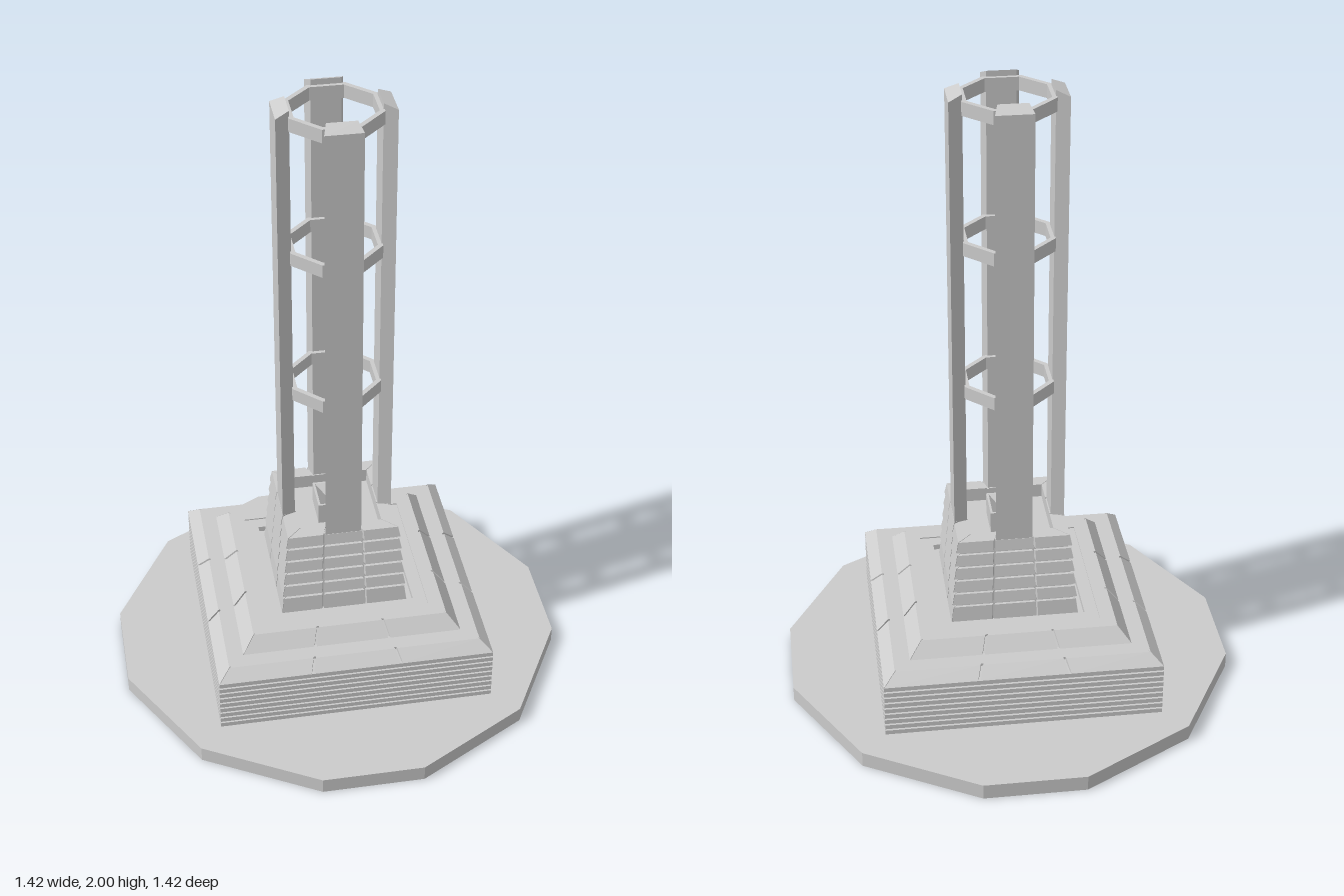
import * as THREE from 'three';

const grey = new THREE.MeshStandardMaterial({ color: 0xcccccc, flatShading: true });

// Mirror-symmetric 12-sided ground slab
function groundSlab() {
  const quarter = [[0.71, 0.16], [0.512, 0.512], [0.16, 0.71]];
  const pts = [];
  for (let q = 0; q < 4; q++) {
    for (const [x, y] of quarter) {
      pts.push(new THREE.Vector2(x, y).rotateAround(new THREE.Vector2(), q * Math.PI / 2));
    }
  }
  const geo = new THREE.ExtrudeGeometry(new THREE.Shape(pts), { depth: 0.05, bevelEnabled: false });
  return geo.rotateX(-Math.PI / 2);
}

// Profile of [half width, y] turned into a regular n-sided solid with flats facing the axes
function turned(profile, n) {
  const k = 1 / Math.cos(Math.PI / n);
  return new THREE.LatheGeometry(profile.map(([r, y]) => new THREE.Vector2(r * k, y)), n, Math.PI / n);
}

// Six-sided block from 4 bottom and 4 top corners (outer left, outer right, inner right, inner left)
function block(corners) {
  const quads = [[0, 1, 5, 4], [1, 2, 6, 5], [2, 3, 7, 6], [3, 0, 4, 7], [4, 5, 6, 7], [3, 2, 1, 0]];
  const geo = new THREE.BufferGeometry();
  geo.setAttribute('position', new THREE.Float32BufferAttribute(corners.flat(), 3));
  geo.setIndex(quads.flatMap(([a, b, c, d]) => [a, b, c, a, c, d]));
  const flat = geo.toNonIndexed();
  flat.computeVertexNormals();
  return flat;
}

export function createModel() {
  const model = new THREE.Group();
  const tower = new THREE.Group();
  tower.name = 'tower';
  tower.position.set(-0.003, 0, -0.003);
  model.add(tower);

  const add = (parent, name, geo, turn = 0) => {
    const mesh = new THREE.Mesh(geo, grey);
    mesh.name = name;
    mesh.rotation.y = turn * Math.PI / 2;
    parent.add(mesh);
  };

  // Square ring of stones, three per side, split by narrow joints
  const course = (name, r0, y0, r1, y1, inner, k, gap) => {
    const ring = new THREE.Group();
    ring.name = name;
    for (let side = 0; side < 4; side++) {
      for (const [a, b] of [[-1, -k], [-k, k], [k, 1]]) {
        const ga = a === -1 ? 0.001 : gap, gb = b === 1 ? 0.001 : gap;
        const level = (r, y) => [
          [a * r + ga, y, r], [b * r - gb, y, r],
          [b * inner - gb, y, inner], [a * inner + ga, y, inner]];
        add(ring, 'stone', block([...level(r0, y0), ...level(r1, y1)]), side);
      }
    }
    tower.add(ring);
  };

  add(model, 'groundSlab', groundSlab());

  // Plinth: grooved wall, two steps and a shallow channel round the pedestal
  const wall = [[0, 0.04]];
  const slats = 9, pitch = 0.185 / slats;
  for (let i = 0; i < slats; i++) {
    const y = 0.05 + i * pitch;
    wall.push([0.425, y], [0.425, y + 0.006], [0.437, y + 0.006], [0.437, y + pitch]);
  }
  wall.push([0.425, 0.235], [0.394, 0.26], [0.394, 0.268], [0.34, 0.268],
    [0.304, 0.306], [0.304, 0.312], [0.262, 0.312], [0.262, 0.308],
    [0.22, 0.308], [0.22, 0.29], [0, 0.29]);
  add(tower, 'plinth', turned(wall, 4));
  course('lowerSlope', 0.437, 0.235, 0.4, 0.268, 0.394, 0.325, 0.004);
  course('upperSlope', 0.35, 0.267, 0.31, 0.312, 0.304, 0.34, 0.004);

  // Pedestal: recessed core faced with six tapering stone courses
  add(tower, 'pedestalCore', turned([
    [0, 0.285], [0.192, 0.285], [0.167, 0.572], [0.13, 0.572], [0.13, 0.53], [0, 0.53]], 4));
  for (let i = 0; i < 6; i++) {
    const y = 0.54 - i * 0.046;
    const r = 0.183 + i * 0.004;
    course('pedestalCourse', r, i === 5 ? 0.29 : y, r - 0.007, y + 0.035, i ? 0.15 : 0.13, 0.35, 0.003);
  }

  // Basin with an inverted pyramid hollow
  add(tower, 'basin', turned([[0.06, 0.52], [0.06, 0.6], [0.053, 0.6], [0, 0.55]], 4));

  // Four tapered pillars with sloping tops
  const pillar = (yOut, yIn) => [
    [-0.057, yOut, 0.175], [0.057, yOut, 0.175], [0.045, yIn, 0.134], [-0.045, yIn, 0.134]];
  for (let side = 0; side < 4; side++) {
    add(tower, 'pillar', block([...pillar(0.57, 0.57), ...pillar(1.982, 2)]), side);
  }

  // Octagonal tie rings
  for (const y of [1.02, 1.502, 1.94]) {
    add(tower, 'tieRing', turned([
      [0.122, y], [0.137, y], [0.137, y + 0.042], [0.122, y + 0.042], [0.122, y]], 8));
  }
  return model;
}
